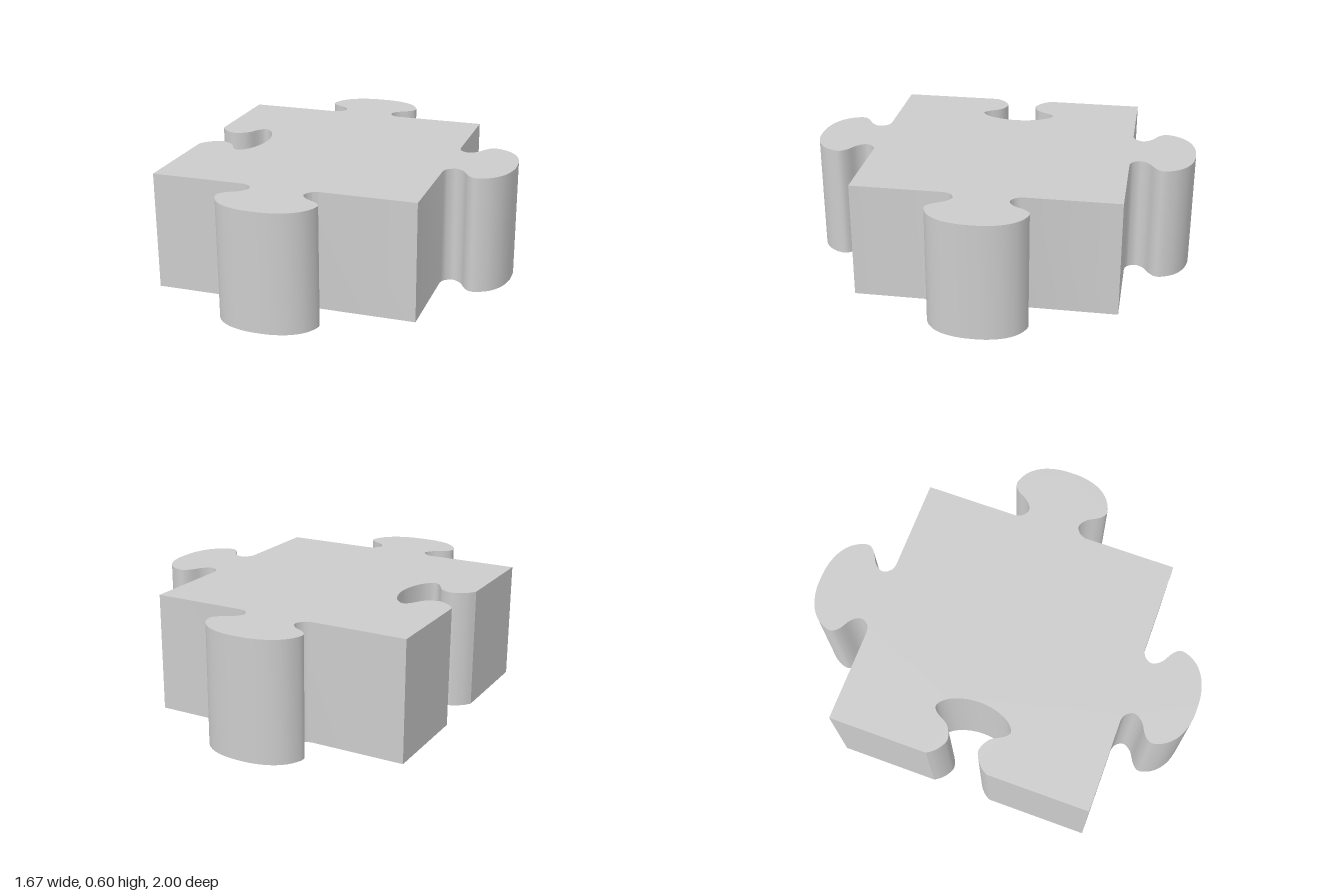
import * as THREE from 'three';
import { toCreasedNormals } from 'three/addons/utils/BufferGeometryUtils.js';

const HEIGHT = 0.6;
const LEFT = -0.835, RIGHT = 0.5, BACK = 0.67, FRONT = -0.665; // shape y is -z
const MID_X = (LEFT + RIGHT) / 2;

// Half profiles: [distance along the edge, distance out from the edge]
const TAB = [[-0.19, 0], [-0.157, 0.015], [-0.137, 0.055], [-0.165, 0.1], [-0.225, 0.137],
  [-0.25, 0.18], [-0.22, 0.25], [-0.16, 0.3], [-0.08, 0.327], [0, 0.333]];
const SOCKET = [[-0.155, 0], [-0.12, -0.025], [-0.09, -0.065], [-0.08, -0.105], [-0.11, -0.165],
  [-0.175, -0.205], [-0.195, -0.24], [-0.155, -0.285], [-0.08, -0.315], [0, -0.325]];

// Mirrors a half profile and sets it on an edge running along (dx, dy), outside to its right
function knob(half, cx, cy, dx, dy) {
  const mirrored = half.slice(0, -1).reverse().map(([u, h]) => [-u, h]);
  const points = [...half, ...mirrored].map(([u, h]) =>
    new THREE.Vector2(cx + u * dx + h * dy, cy + u * dy - h * dx));
  return new THREE.SplineCurve(points).getPoints(72);
}

export function createModel() {
  const group = new THREE.Group();
  group.name = 'puzzlePiece';

  // Outline, counter-clockwise from the front left corner of the plan
  const outline = new THREE.Shape([
    new THREE.Vector2(LEFT, FRONT),
    ...knob(TAB, MID_X, FRONT, 1, 0),
    new THREE.Vector2(RIGHT, FRONT),
    ...knob(TAB, RIGHT, 0, 0, 1),
    new THREE.Vector2(RIGHT, BACK),
    ...knob(TAB, MID_X, BACK, -1, 0),
    new THREE.Vector2(LEFT, BACK),
    ...knob(SOCKET, LEFT, 0.01, 0, -1),
  ]);

  // Solid piece with smooth curved walls and sharp rims
  const solid = new THREE.ExtrudeGeometry(outline, { depth: HEIGHT, bevelEnabled: false });
  solid.rotateX(-Math.PI / 2);
  const piece = new THREE.Mesh(
    toCreasedNormals(solid, Math.PI / 6),
    new THREE.MeshStandardMaterial({ color: 0xcccccc }),
  );
  piece.name = 'pieceBody';
  group.add(piece);
  return group;
}
